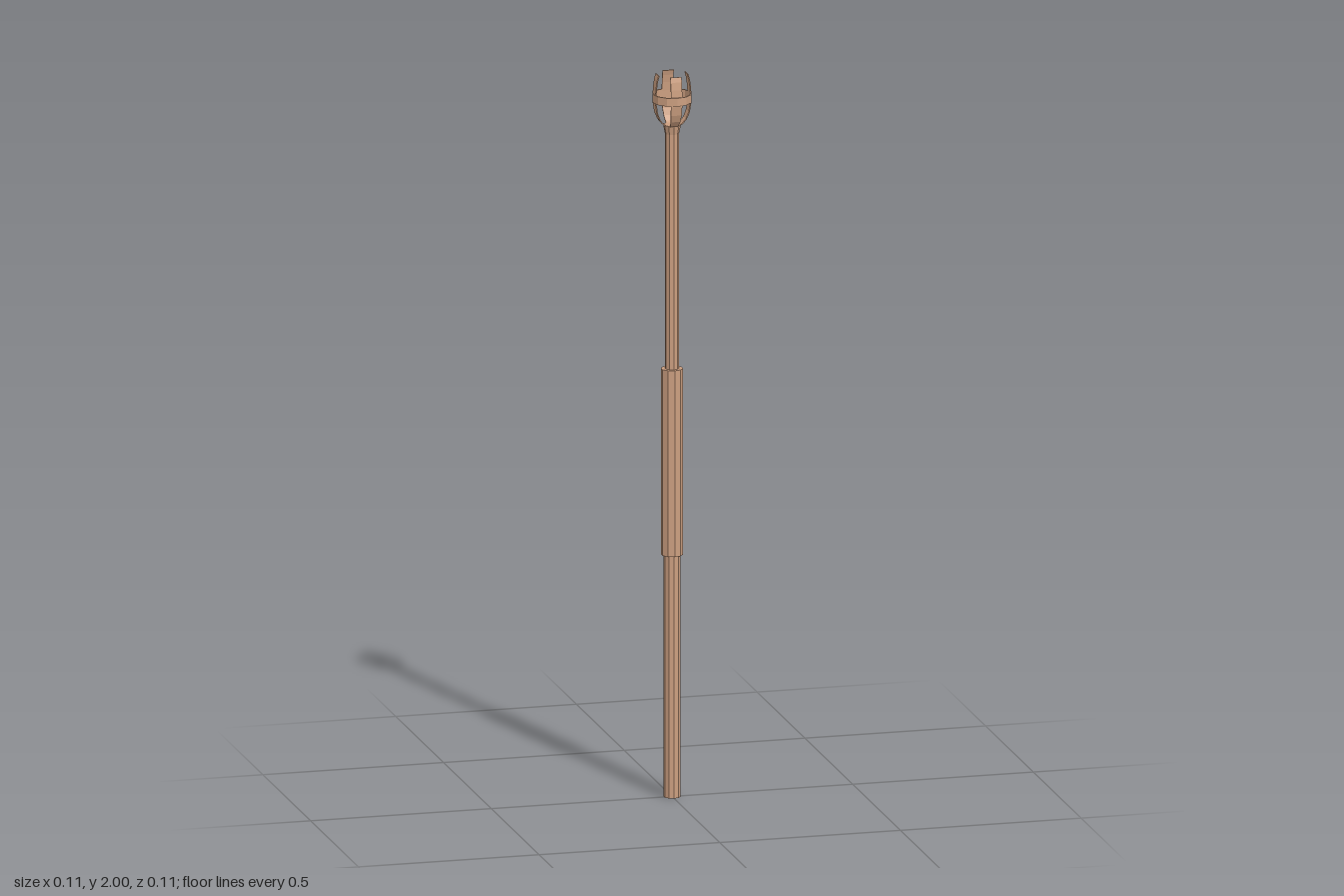
import * as THREE from 'three';

const wood = new THREE.MeshStandardMaterial({ color: 0xcc9f80, flatShading: true });
wood.name = 'tan wood';

// Faceted rod between two heights
function rod(name, rBottom, rTop, y0, y1) {
  const geo = new THREE.CylinderGeometry(rTop, rBottom, y1 - y0, 10);
  geo.translate(0, (y0 + y1) / 2, 0);
  const mesh = new THREE.Mesh(geo, wood);
  mesh.name = name;
  return mesh;
}

// Thin curved claw: a flat bar bent along a path of (radius, height)
function clawGeometry() {
  const path = new THREE.SplineCurve([
    [0.017, 1.857], [0.03, 1.867], [0.042, 1.888], [0.048, 1.92],
    [0.048, 1.95], [0.045, 1.98], [0.04, 2.0],
  ].map(([r, y]) => new THREE.Vector2(r, y)));
  const geo = new THREE.BoxGeometry(1, 1, 0.003, 1, 8, 1);
  const pos = geo.attributes.position;
  for (let i = 0; i < pos.count; i++) {
    const t = pos.getY(i) + 0.5;
    const p = path.getPoint(t);
    const tan = path.getTangent(t);
    const width = 0.02 + 0.011 * Math.min(1, t / 0.4);
    const depth = pos.getZ(i);
    pos.setXYZ(i, pos.getX(i) * width, Math.min(2, p.y - tan.x * depth), p.x + tan.y * depth);
  }
  geo.computeVertexNormals();
  return geo;
}

export function createModel() {
  const model = new THREE.Group();
  model.name = 'staff';

  // Shaft, grip and flared collar
  model.add(
    rod('lowerShaft', 0.023, 0.023, 0, 0.68),
    rod('grip', 0.03, 0.03, 0.67, 1.185),
    rod('upperShaft', 0.019, 0.019, 1.18, 1.84),
    rod('collar', 0.019, 0.024, 1.835, 1.86),
  );

  // Four claws around the head
  const claw = clawGeometry();
  for (let i = 0; i < 4; i++) {
    const mesh = new THREE.Mesh(claw, wood);
    mesh.name = 'claw' + (i + 1);
    mesh.rotation.y = i * Math.PI / 2;
    model.add(mesh);
  }

  // Band holding the claws
  const profile = [[0.051, 1.923], [0.055, 1.923], [0.055, 1.946], [0.051, 1.946], [0.051, 1.923]]
    .map(([r, y]) => new THREE.Vector2(r, y));
  const band = new THREE.Mesh(new THREE.LatheGeometry(profile, 12), wood);
  band.name = 'band';
  band.scale.set(0.97, 1, 1.03);
  model.add(band);

  return model;
}
